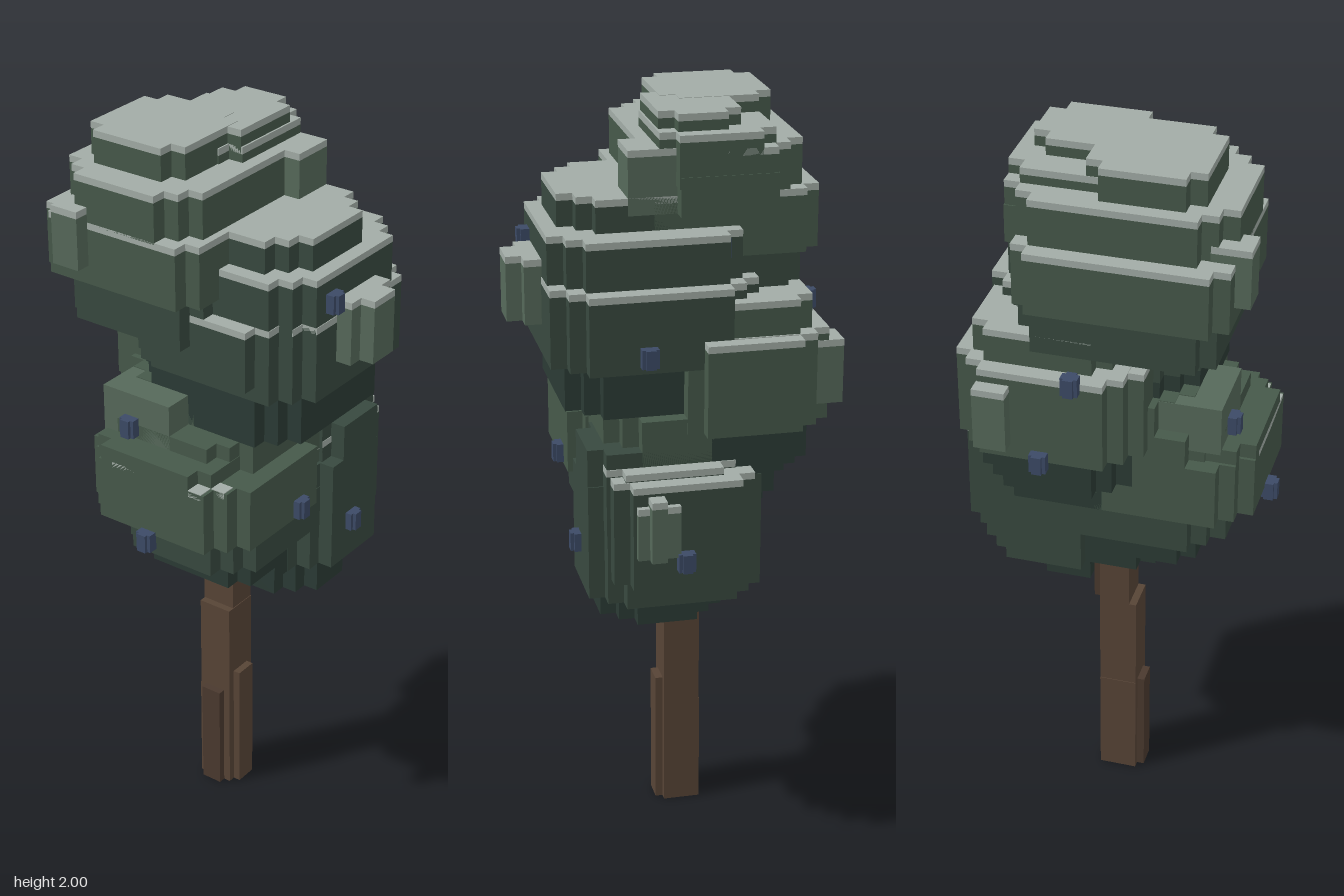
import * as THREE from 'three';

const V = 0.0415; // voxel size
const mat = (color) => new THREE.MeshStandardMaterial({ color, flatShading: true });
const DARK = mat(0x2b3b35), MID = mat(0x38493f), GREEN = mat(0x46594a), LIGHT = mat(0x56695a);
const CAP = mat(0xa2aca6), BERRY = mat(0x3c4a66), BARK = mat(0x574436), BARK_DARK = mat(0x4a392e);

// Rectangle with staircase corners, n voxels deep
function steppedShape(x0, x1, z0, z1, n) {
  const pts = [];
  const corner = (cx, cz, sx, sz, flip) => {
    const c = [];
    for (let i = 0; i <= n; i++) {
      c.push([cx - sx * i * V, cz - sz * (n - i) * V]);
      if (i < n) c.push([cx - sx * (i + 1) * V, cz - sz * (n - i) * V]);
    }
    pts.push(...(flip ? c.reverse() : c));
  };
  corner(x1, z1, 1, 1, false);
  corner(x0, z1, -1, 1, true);
  corner(x0, z0, -1, -1, false);
  corner(x1, z0, 1, -1, true);
  return new THREE.Shape(pts.map((p) => new THREE.Vector2(...p)));
}

function slab(name, y0, y1, shape, material) {
  const geo = new THREE.ExtrudeGeometry(shape, { depth: y1 - y0, bevelEnabled: false });
  geo.rotateX(Math.PI / 2).translate(0, y1, 0);
  const mesh = new THREE.Mesh(geo, material);
  mesh.name = name;
  return mesh;
}

// Stack of tiers: [y0, y1, x0, x1, z0, z1, corner steps, material, has pale cap]
function clump(name, tiers) {
  const g = new THREE.Group();
  g.name = name;
  for (const [y0, y1, x0, x1, z0, z1, n, m, cap = true] of tiers) {
    const shape = steppedShape(x0, x1, z0, z1, n);
    const top = cap ? y1 - 0.018 : y1;
    g.add(slab('leafTier', y0, top, shape, m));
    if (cap) g.add(slab('paleCap', top, y1, shape, CAP));
  }
  return g;
}

function box(name, x0, x1, y0, y1, z0, z1, material) {
  const mesh = new THREE.Mesh(new THREE.BoxGeometry(x1 - x0, y1 - y0, z1 - z0), material);
  mesh.position.set((x0 + x1) / 2, (y0 + y1) / 2, (z0 + z1) / 2);
  mesh.name = name;
  return mesh;
}

export function createModel() {
  const tree = new THREE.Group();
  tree.name = 'tree';

  // Trunk, leaning slightly as it rises
  const trunk = new THREE.Group();
  trunk.name = 'trunk';
  trunk.add(
    box('trunkBase', -0.07, 0.033, 0, 0.31, -0.1, 0, BARK),
    box('trunkBaseSide', -0.09, 0.01, 0, 0.312, -0.08, -0.02, BARK_DARK),
    box('trunkBaseFront', -0.05, 0.012, 0, 0.375, -0.08, 0.02, BARK),
    box('trunkMiddle', -0.07, 0.033, 0.3, 0.585, -0.098, 0, BARK),
    box('trunkTop', -0.05, 0.032, 0.58, 0.8, -0.1, -0.002, BARK),
    box('trunkTopSide', 0, 0.053, 0.585, 0.8, -0.08, -0.02, BARK_DARK),
  );
  tree.add(trunk);

  // Crown clumps, top to bottom
  tree.add(
    clump('topClump', [
      [1.91, 2.0, -0.28, 0.015, -0.29, 0.0, 1, GREEN],
      [1.91, 1.999, -0.11, 0.18, -0.17, 0.04, 1, GREEN],
      [1.82, 1.955, -0.11, 0.22, -0.25, 0.045, 1, GREEN],
      [1.79, 1.915, -0.36, 0.22, -0.33, 0.08, 2, GREEN],
      [1.75, 1.915, 0.06, 0.18, -0.02, 0.125, 0, LIGHT],
      [1.75, 1.85, 0.1, 0.222, -0.25, 0, 0, GREEN, false],
      [1.63, 1.795, -0.36, 0.18, -0.375, 0.1, 1, GREEN],
      [1.68, 1.835, -0.4, -0.3, -0.29, -0.21, 0, LIGHT],
      [1.5, 1.63, -0.32, 0.18, -0.33, 0.08, 1, MID, false],
    ]),
    clump('frontClump', [
      [1.68, 1.795, -0.2, 0.18, -0.1, 0.29, 2, MID],
      [1.55, 1.71, -0.24, 0.26, -0.2, 0.33, 2, MID],
      [1.38, 1.585, -0.24, 0.305, -0.2, 0.332, 2, MID],
      [1.42, 1.584, -0.28, 0.2, -0.2, 0.29, 2, MID],
      [1.25, 1.38, -0.24, 0.26, -0.2, 0.29, 2, DARK, false],
      [1.46, 1.63, -0.07, 0.1, 0.25, 0.375, 0, LIGHT],
      [1.46, 1.63, -0.03, 0.06, 0.3, 0.415, 0, LIGHT],
    ]),
    clump('backClump', [
      [1.38, 1.545, -0.06, 0.3, -0.33, -0.06, 1, GREEN],
      [1.21, 1.455, -0.1, 0.305, -0.375, 0.0, 1, GREEN],
      [1.21, 1.453, -0.14, 0.345, -0.33, 0.0, 1, GREEN],
      [1.25, 1.42, 0.18, 0.265, -0.415, -0.3, 0, LIGHT],
      [1.09, 1.21, -0.1, 0.3, -0.335, 0.02, 2, DARK, false],
      [1.0, 1.09, -0.06, 0.26, -0.25, 0.02, 1, DARK, false],
    ]),
    clump('middleClump', [
      [1.0, 1.335, -0.24, 0.1, -0.25, 0.1, 2, GREEN, false],
      [1.05, 1.25, -0.32, 0.3, -0.25, 0.2, 2, GREEN, false],
      [1.2, 1.333, -0.32, -0.15, -0.21, 0.0, 0, LIGHT, false],
    ]),
    clump('leftClump', [
      [1.1, 1.21, -0.4, 0.06, -0.2, 0.16, 1, GREEN, false],
      [1.0, 1.17, -0.4, 0.06, -0.25, 0.25, 2, GREEN, false],
      [1.1, 1.172, -0.4, -0.28, -0.165, 0.2, 1, GREEN],
      [0.88, 1.0, -0.32, 0.14, -0.21, 0.21, 2, MID, false],
      [0.8, 0.88, -0.24, 0.14, -0.165, 0.165, 1, DARK, false],
    ]),
    clump('lowerClump', [
      [1.05, 1.17, 0.06, 0.3, -0.12, 0.25, 1, MID, false],
      [0.95, 1.13, 0.02, 0.345, -0.125, 0.21, 1, MID],
      [0.83, 1.11, -0.03, 0.388, -0.165, 0.2, 1, MID],
      [0.76, 1.07, -0.03, 0.345, -0.205, 0.25, 2, MID, false],
      [0.76, 0.9, -0.13, 0.2, -0.165, 0.165, 1, DARK, false],
      [0.67, 0.76, -0.03, 0.26, -0.12, 0.205, 2, DARK, false],
      [0.92, 1.085, 0.3, 0.43, 0.08, 0.12, 0, LIGHT],
      [0.92, 1.06, 0.3, 0.405, 0.04, 0.15, 0, LIGHT],
    ]),
  );

  // Berries sitting on the foliage
  const berries = new THREE.Group();
  berries.name = 'berries';
  const spots = [
    [-0.095, 1.635, 0.34], [-0.105, 1.03, 0.255], [0.14, 0.875, 0.255],
    [0.315, 1.425, 0.1], [0.4, 0.905, 0.025], [0.2, 1.665, -0.115],
    [-0.41, 0.985, -0.01], [-0.33, 1.245, -0.12],
    [0.02, 1.455, -0.385], [0.105, 1.215, -0.385],
  ];
  for (const [x, y, z] of spots) {
    const b = new THREE.Group();
    b.name = 'berry';
    b.add(
      box('berryCore', -0.022, 0.022, -0.025, 0.025, -0.013, 0.013, BERRY),
      box('berryCross', -0.013, 0.013, -0.025, 0.025, -0.022, 0.022, BERRY),
    );
    b.position.set(x, y, z);
    berries.add(b);
  }
  tree.add(berries);
  return tree;
}
